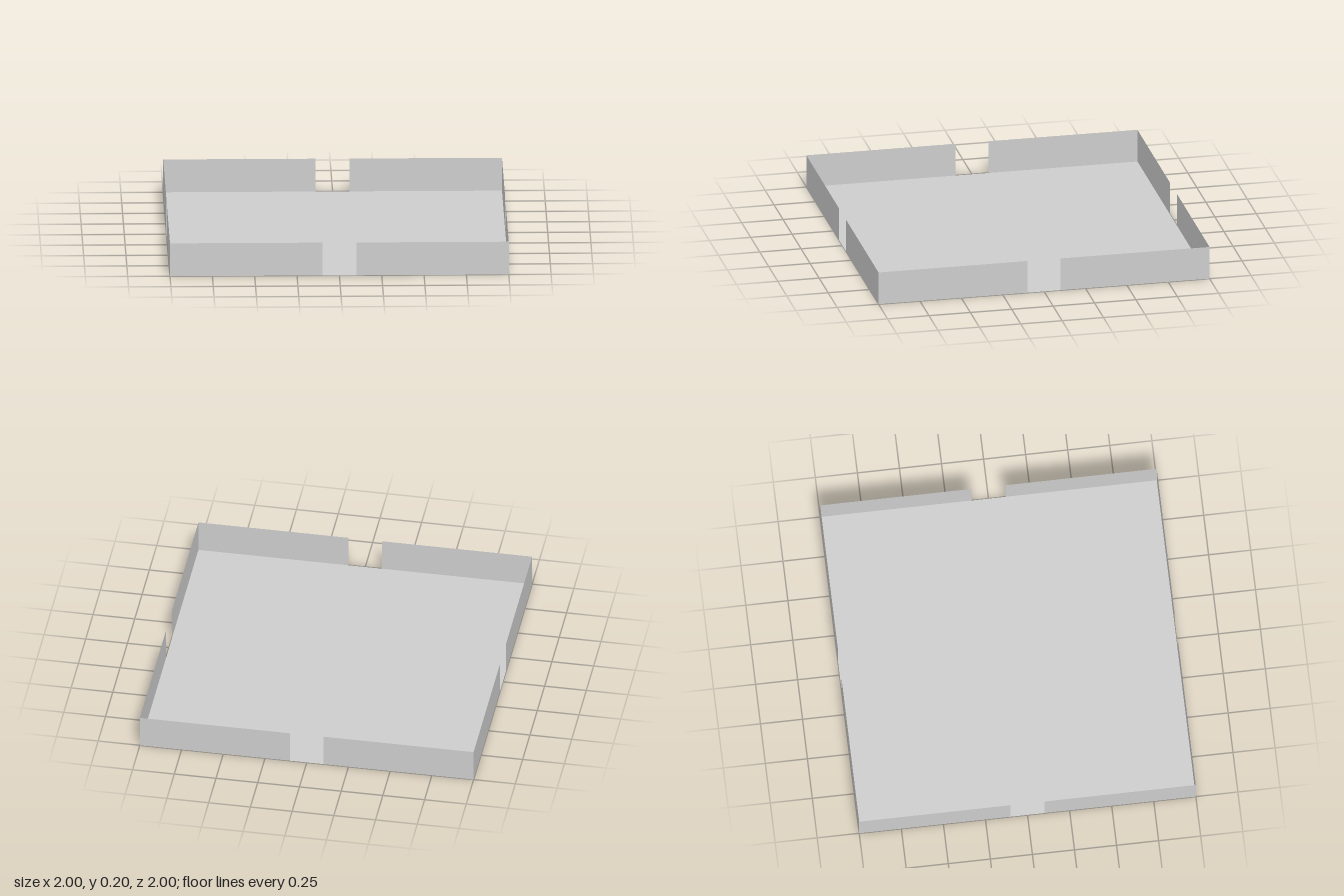
import * as THREE from 'three';

const SIZE = 2, HEIGHT = 0.2, GAP = 0.2;

export function createModel() {
  const model = new THREE.Group();
  model.name = 'walledTray';
  const grey = new THREE.MeshStandardMaterial({ color: 0xcccccc, side: THREE.DoubleSide });
  grey.name = 'light grey';

  // Paper-thin square floor
  const floor = new THREE.Mesh(new THREE.PlaneGeometry(SIZE, SIZE).rotateX(-Math.PI / 2), grey);
  floor.name = 'floor';
  model.add(floor);

  // Four thin walls, each split by a central doorway
  const length = (SIZE - GAP) / 2;
  const panel = new THREE.PlaneGeometry(length, HEIGHT);
  ['front', 'left', 'back', 'right'].forEach((side, i) => {
    const wall = new THREE.Group();
    wall.name = side + 'Wall';
    for (const s of [-1, 1]) {
      const half = new THREE.Mesh(panel, grey);
      half.name = side + (s < 0 ? 'WallFirstHalf' : 'WallSecondHalf');
      half.position.set(s * (GAP + length) / 2, HEIGHT / 2, SIZE / 2);
      wall.add(half);
    }
    wall.rotation.y = i * Math.PI / 2;
    model.add(wall);
  });
  return model;
}
